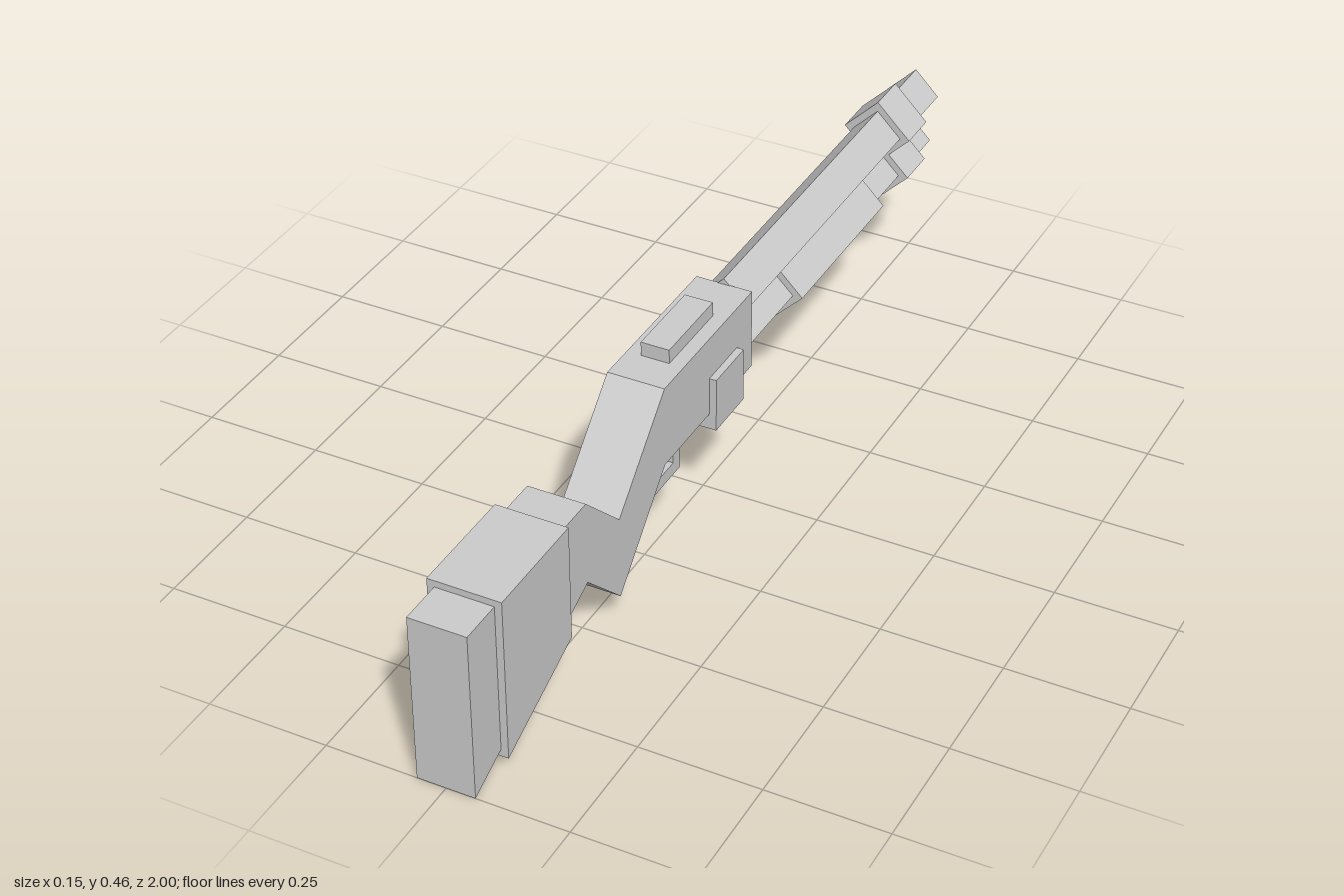
import * as THREE from 'three';

export function createModel() {
  const group = new THREE.Group();
  const material = new THREE.MeshStandardMaterial({ color: 0xcccccc, flatShading: true });

  function add(name, geometry) {
    const mesh = new THREE.Mesh(geometry, material);
    mesh.name = name;
    group.add(mesh);
    return mesh;
  }

  // Side outline given as [z, y] points, extruded symmetrically across x
  function slab(name, points, halfWidth) {
    const shape = new THREE.Shape(points.map(([z, y]) => new THREE.Vector2(z, y)));
    const geo = new THREE.ExtrudeGeometry(shape, { depth: halfWidth * 2, bevelEnabled: false });
    geo.translate(0, 0, -halfWidth).rotateY(-Math.PI / 2);
    return add(name, geo);
  }

  function block(name, halfWidth, y0, y1, z0, z1) {
    const geo = new THREE.BoxGeometry(halfWidth * 2, y1 - y0, z1 - z0);
    return add(name, geo.translate(0, (y0 + y1) / 2, (z0 + z1) / 2));
  }

  // Four-sided tube, corner up, running along z
  function diamond(name, radius, y, z0, z1) {
    const geo = new THREE.CylinderGeometry(radius, radius, z1 - z0, 4);
    return add(name, geo.rotateX(Math.PI / 2).translate(0, y, (z0 + z1) / 2));
  }

  // Receiver, grip and stock core in one outline
  slab('receiverAndStock', [
    [-0.09, 0.252], [0.275, 0.252], [0.457, 0.067], [0.58, 0.187], [1, 0],
    [1, 0.366], [0.58, 0.366], [0.457, 0.247], [0.275, 0.426], [-0.09, 0.426],
  ], 0.06);

  // Wider sleeve around the stock
  slab('stockSleeve', [[0.67, 0.13], [0.907, 0.026], [0.907, 0.38], [0.67, 0.38]], 0.075);

  // Receiver fittings
  block('topRib', 0.03, 0.41, 0.456, 0.018, 0.198);
  block('loadingPort', 0.075, 0.218, 0.335, -0.025, 0.092);

  // Trigger and its guard
  slab('triggerGuard', [
    [0.158, 0.27], [0.158, 0.16], [0.318, 0.16], [0.318, 0.235],
    [0.295, 0.235], [0.295, 0.187], [0.185, 0.187], [0.185, 0.27],
  ], 0.03);
  slab('trigger', [[0.222, 0.2], [0.25, 0.2], [0.262, 0.26], [0.235, 0.26]], 0.015);

  // Barrel, magazine tube and pump
  const barrelY = 0.386, tubeY = 0.296;
  diamond('barrel', 0.053, barrelY, -1, -0.088);
  diamond('magazineTube', 0.053, tubeY, -0.967, -0.088);
  diamond('pump', 0.074, tubeY, -0.68, -0.29);

  // Front band, one collar on each tube
  diamond('barrelCollar', 0.074, barrelY, -0.892, -0.803);
  diamond('magazineCollar', 0.074, tubeY, -0.892, -0.803);

  return group;
}
